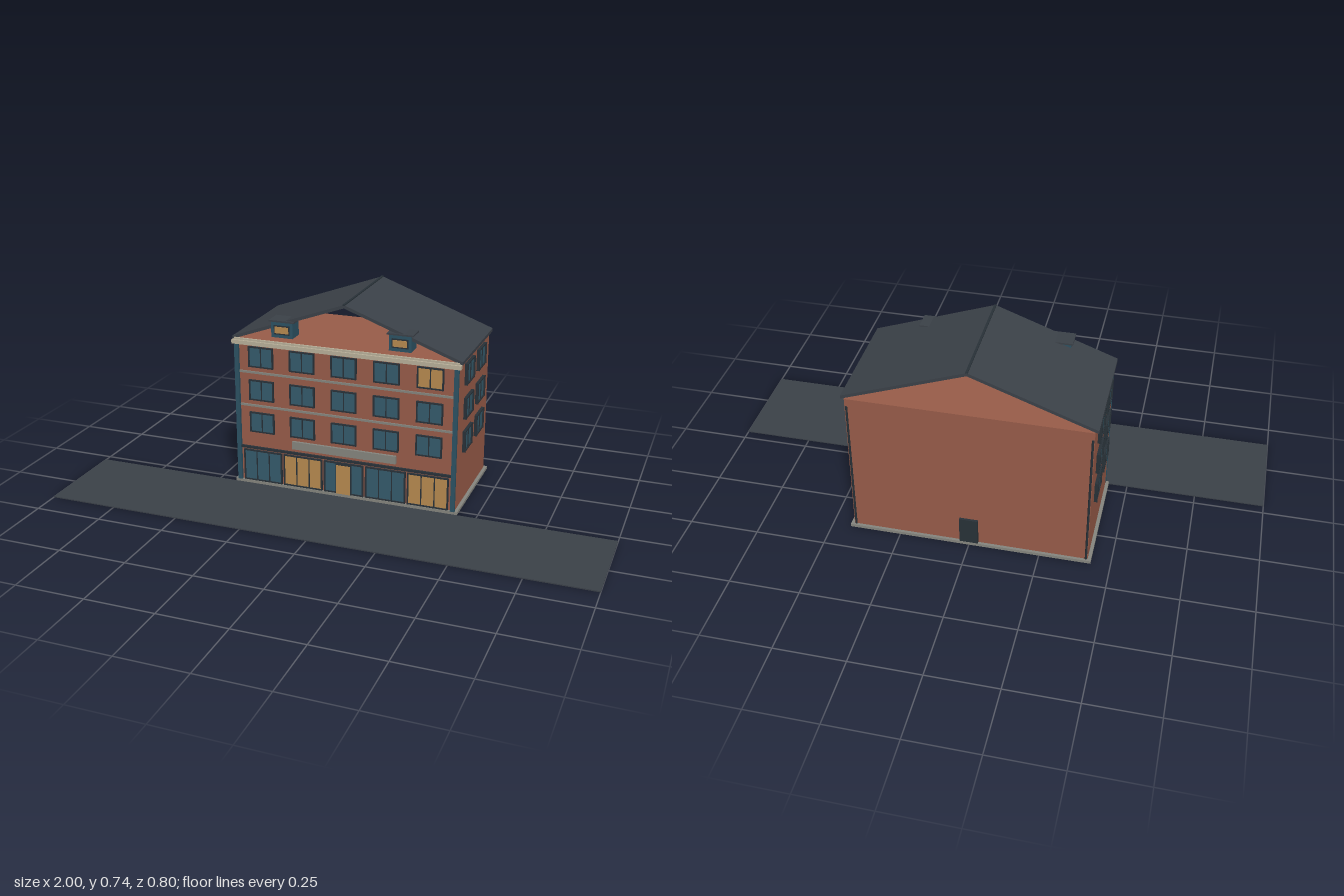
import * as THREE from 'three';

export function createModel() {
  const model = new THREE.Group();
  const mat = (name, color) => {
    const m = new THREE.MeshStandardMaterial({ color });
    m.name = name;
    return m;
  };
  const brick = mat('brick', 0x985c49);
  const slate = mat('slate', 0x3b4148);
  const glass = mat('glass', 0x355b6c);
  const lit = mat('lit glass', 0xb88a50);
  const frame = mat('dark frame', 0x283138);
  const teal = mat('teal paint', 0x2c5263);
  const stone = mat('stone', 0x85857e);
  const cream = mat('cream trim', 0xb9b09a);

  // Box given by its limits on each axis
  function box(parent, name, material, x0, x1, y0, y1, z0, z1) {
    const mesh = new THREE.Mesh(new THREE.BoxGeometry(x1 - x0, y1 - y0, z1 - z0), material);
    mesh.position.set((x0 + x1) / 2, (y0 + y1) / 2, (z0 + z1) / 2);
    mesh.name = name;
    parent.add(mesh);
    return mesh;
  }

  // Framed window lying on the plane z = 0, facing +z, centred on its own origin
  function windowUnit(name, w, h, pane, mullions = 1, depth = 0.008) {
    const g = new THREE.Group();
    g.name = name;
    const t = 0.005, x = w / 2, y = h / 2;
    box(g, 'pane', pane, -x, x, -y, y, 0, depth * 0.5);
    for (const s of [-1, 1]) {
      box(g, 'frameSide', frame, s * x - t / 2, s * x + t / 2, -y - t / 2, y + t / 2, 0, depth);
      box(g, 'frameRail', frame, -x, x, s * y - t / 2, s * y + t / 2, 0, depth * 0.9);
    }
    for (let i = 1; i <= mullions; i++) {
      const mx = -x + (w * i) / (mullions + 1);
      box(g, 'mullion', frame, mx - 0.002, mx + 0.002, -y, y, 0, depth * 0.75);
    }
    model.add(g);
    return g;
  }

  const W = 0.42, ZF = 0.026, ZB = -0.39;

  // Street, plinth and walls
  box(model, 'street', slate, -1, 1, 0, 0.004, 0.036, 0.4);
  box(model, 'plinth', stone, -0.432, 0.432, 0.003, 0.014, -0.4, 0.035);
  box(model, 'walls', brick, -W, W, 0.005, 0.563, ZB, ZF);

  // Open-gabled pitched roof, a thin folded slab
  const roofShape = new THREE.Shape([
    [-0.432, 0.563], [0, 0.721], [0.432, 0.563],
    [0.432, 0.575], [0, 0.733], [-0.432, 0.575],
  ].map(([x, y]) => new THREE.Vector2(x, y)));
  const roof = new THREE.Mesh(
    new THREE.ExtrudeGeometry(roofShape, { depth: 0.417, bevelEnabled: false }), slate);
  roof.position.z = -0.391;
  roof.name = 'roof';
  model.add(roof);
  box(model, 'ridgeCap', frame, -0.004, 0.004, 0.729, 0.735, -0.391, 0.026);

  // Upper windows: five per floor on the front, two per floor on each side
  [0.25, 0.376, 0.504].forEach((y, floor) => {
    for (let c = -2; c <= 2; c++) {
      const pane = floor === 2 && c === 2 ? lit : glass;
      windowUnit('frontWindow', 0.092, 0.074, pane).position.set(c * 0.16, y, ZF);
    }
    for (const s of [-1, 1]) for (const z of [-0.102, -0.264]) {
      const win = windowUnit('sideWindow', 0.096, 0.075, glass, 1, 0.012);
      win.position.set(s * W, y, z);
      win.rotation.y = s * Math.PI / 2;
    }
  });

  // Cornice, floor bands and corner pilasters
  box(model, 'cornice', cream, -0.43, 0.43, 0.55, 0.565, 0.024, 0.041);
  box(model, 'corniceTop', cream, -0.422, 0.422, 0.565, 0.572, 0.027, 0.034);
  for (const y of [0.315, 0.444]) {
    box(model, 'floorBand', stone, -0.405, 0.405, y - 0.004, y + 0.004, ZF, 0.031);
  }
  for (const s of [-1, 1]) {
    box(model, 'pilaster', teal, s * 0.414 - 0.008, s * 0.414 + 0.008, 0.014, 0.55, ZF, 0.037);
  }

  // Shopfront: beam, five glazed bays with posts, and the entrance
  box(model, 'shopBeam', frame, -0.406, 0.406, 0.143, 0.152, ZF, 0.034);
  box(model, 'signBoard', stone, -0.2, 0.2, 0.165, 0.195, ZF, 0.036);
  for (let c = -2; c <= 2; c++) {
    const pane = Math.abs(c) === 2 && c > 0 || c === -1 ? lit : glass;
    windowUnit('shopWindow', 0.148, 0.118, pane, c ? 2 : 0).position.set(c * 0.16, 0.076, ZF);
  }
  box(model, 'entranceFrame', frame, -0.031, 0.031, 0.014, 0.132, ZF, 0.033);
  box(model, 'entranceDoor', lit, -0.027, 0.027, 0.014, 0.127, 0.033, 0.035);

  // Front dormers
  for (const x of [-0.235, 0.208]) {
    const g = new THREE.Group();
    g.name = 'dormer';
    g.position.x = x;
    model.add(g);
    box(g, 'dormerBody', teal, -0.041, 0.041, 0.588, 0.646, -0.03, 0.029);
    box(g, 'dormerCap', slate, -0.048, 0.048, 0.646, 0.652, -0.035, 0.033);
    box(g, 'dormerFrame', frame, -0.03, 0.03, 0.6, 0.634, 0.029, 0.031);
    box(g, 'dormerPane', lit, -0.026, 0.026, 0.605, 0.629, 0.031, 0.033);
  }

  // Back door and downpipes
  box(model, 'backDoor', frame, -0.033, 0.033, 0.014, 0.115, -0.399, ZB);
  for (const s of [-1, 1]) {
    const pipe = new THREE.Mesh(new THREE.CylinderGeometry(0.004, 0.004, 0.52, 8), frame);
    pipe.position.set(s * 0.414, 0.274, ZB);
    pipe.name = 'downpipe';
    model.add(pipe);
  }
  return model;
}
